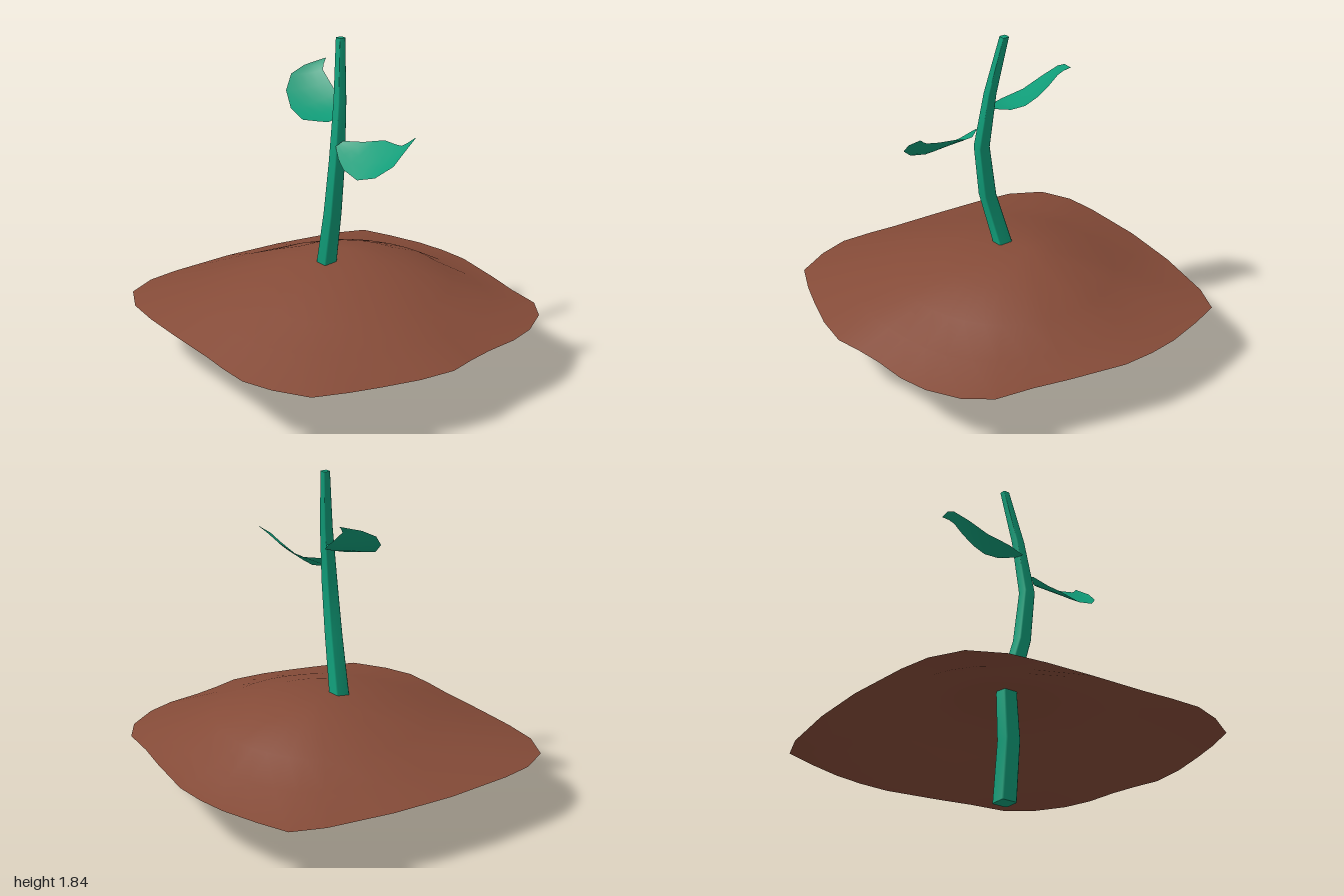
import * as THREE from 'three';

const green = new THREE.MeshStandardMaterial({ name: 'leaf green', color: 0x109c78, side: THREE.DoubleSide });
const brown = new THREE.MeshStandardMaterial({ name: 'soil brown', color: 0x854b38, side: THREE.DoubleSide });

function surface(name, points, index, material) {
  const g = new THREE.BufferGeometry();
  g.setAttribute('position', new THREE.Float32BufferAttribute(points.flat(), 3));
  g.setIndex(index);
  g.computeVertexNormals();
  const mesh = new THREE.Mesh(g, material);
  mesh.name = name;
  return mesh;
}

// Open heap of soil: round rings near the peak that spread into an uneven, squarish rim
function soilMound() {
  const rim = [
    [-0.85, -0.8], [-0.68, -0.87], [-0.47, -0.94], [-0.3, -0.97], [-0.12, -0.98], [0.2, -0.93], [0.4, -0.89],
    [0.61, -0.865], [0.75, -0.77], [0.86, -0.6], [0.91, -0.44], [0.93, -0.25], [0.96, -0.1], [1, 0.05],
    [0.98, 0.25], [0.93, 0.45], [0.88, 0.62], [0.81, 0.8], [0.63, 0.91], [0.46, 0.97], [0.28, 0.97],
    [0.12, 0.96], [-0.2, 0.955], [-0.47, 0.945], [-0.68, 0.92], [-0.86, 0.83], [-0.95, 0.66], [-0.98, 0.48],
    [-1, 0.1], [-0.98, -0.25], [-0.92, -0.62],
  ];
  // [radius, height, drop towards the back]
  const rings = [[0.2, 0.582, 0], [0.37, 0.55, 0], [0.59, 0.478, 0], [0.79, 0.402, 0.025], [1, 0.33, 0]];
  const peak = [-0.1, 0.613, -0.1];
  const n = rim.length, points = [peak], index = [];
  rings.forEach(([t, height, drop], r) => rim.forEach(([x, z], i) => {
    const len = Math.hypot(x, z);
    const s = t * THREE.MathUtils.lerp(1 / len, 1, t ** 4), shift = (1 - t) ** 2;
    points.push([x * s + peak[0] * shift, height - drop * Math.max(0, -z / len), z * s + peak[2] * shift]);
    const j = (i + 1) % n, a = 1 + r * n + i, b = 1 + r * n + j;
    if (r === 0) index.push(0, b, a);
    else index.push(a - n, b - n, a, b - n, b, a);
  }));
  return surface('soilMound', points, index, brown);
}

// Bent, tapering stem with a bevelled square section: rows are [x, y, z, half width]
function stem() {
  const rows = [
    [-0.02, 0, 0, 0.048], [-0.025, 0.33, 0.043, 0.046], [-0.058, 0.58, 0.068, 0.042], [0.028, 0.9, 0.09, 0.037],
    [0.065, 1.2, 0.088, 0.033], [0.037, 1.52, 0.047, 0.026], [-0.02, 1.84, 0, 0.019],
  ];
  const points = [], index = [], n = 8, last = (rows.length - 1) * n;
  rows.forEach(([x, y, z, r], row) => {
    for (let i = 0; i < n; i++) {
      const a = (i + 0.5) * Math.PI * 2 / n;
      const [u, v] = [Math.cos(a), Math.sin(a)].map((c) => Math.sign(c) * (Math.abs(c) > 0.5 ? 1 : 0.82));
      points.push([x + u * r, y, z + v * r]);
      if (row) {
        const c = row * n + i, d = row * n + (i + 1) % n;
        index.push(c - n, c, d - n, d - n, c, d);
      }
    }
  });
  // Flat ends with their own corners
  const ends = [points.slice(0, n), points.slice(last)];
  ends.forEach((end, e) => {
    const o = points.length;
    points.push(...end);
    for (let i = 1; i < n - 1; i++) index.push(o, ...(e ? [o + i + 1, o + i] : [o + i, o + i + 1]));
  });
  return surface('stem', points, index, green);
}

// Cupped leaf: sheet between a front and a back edge, sagging along the middle
function leaf(name, front, back, sag, flip) {
  const cols = 4, points = [], index = [];
  front.forEach((f, r) => {
    for (let c = 0; c <= cols; c++) {
      const t = c / cols;
      const q = f.map((v, k) => v + (back[r][k] - v) * t);
      q[1] -= sag * 4 * t * (1 - t) * Math.sin(Math.PI * (r + 0.5) / front.length);
      points.push(q);
      if (r && c) {
        const d = r * (cols + 1) + c, e = d - 1, b = d - cols - 1, a = b - 1;
        index.push(...(flip ? [a, b, e, b, d, e] : [a, e, b, b, e, d]));
      }
    }
  });
  return surface(name, points, index, green);
}

export function createModel() {
  const group = new THREE.Group();
  group.name = 'seedling';
  group.add(soilMound(), stem());
  group.add(leaf('leftLeaf',
    [[0.09, 1.295, 0.115], [0.16, 1.25, 0.15], [0.24, 1.22, 0.178], [0.36, 1.195, 0.18], [0.47, 1.23, 0.15],
      [0.545, 1.3, 0.09], [0.55, 1.36, 0.03], [0.535, 1.42, -0.06]],
    [[0.1, 1.32, 0.075], [0.18, 1.32, 0], [0.24, 1.335, -0.03], [0.31, 1.355, -0.04], [0.4, 1.36, -0.03],
      [0.47, 1.37, -0.02], [0.5, 1.39, -0.035], [0.53, 1.42, -0.06]], 0.008, false));
  group.add(leaf('rightLeaf',
    [[0.02, 1.41, 0.115], [-0.04, 1.405, 0.14], [-0.12, 1.4, 0.175], [-0.25, 1.43, 0.16], [-0.35, 1.5, 0.12],
      [-0.4, 1.57, 0.05], [-0.385, 1.61, -0.03], [-0.345, 1.64, -0.14]],
    [[0.02, 1.425, 0.04], [-0.05, 1.425, -0.02], [-0.11, 1.45, -0.065], [-0.17, 1.49, -0.085], [-0.24, 1.54, -0.09],
      [-0.3, 1.59, -0.09], [-0.32, 1.615, -0.11], [-0.34, 1.64, -0.14]], 0.012, true));
  return group;
}
